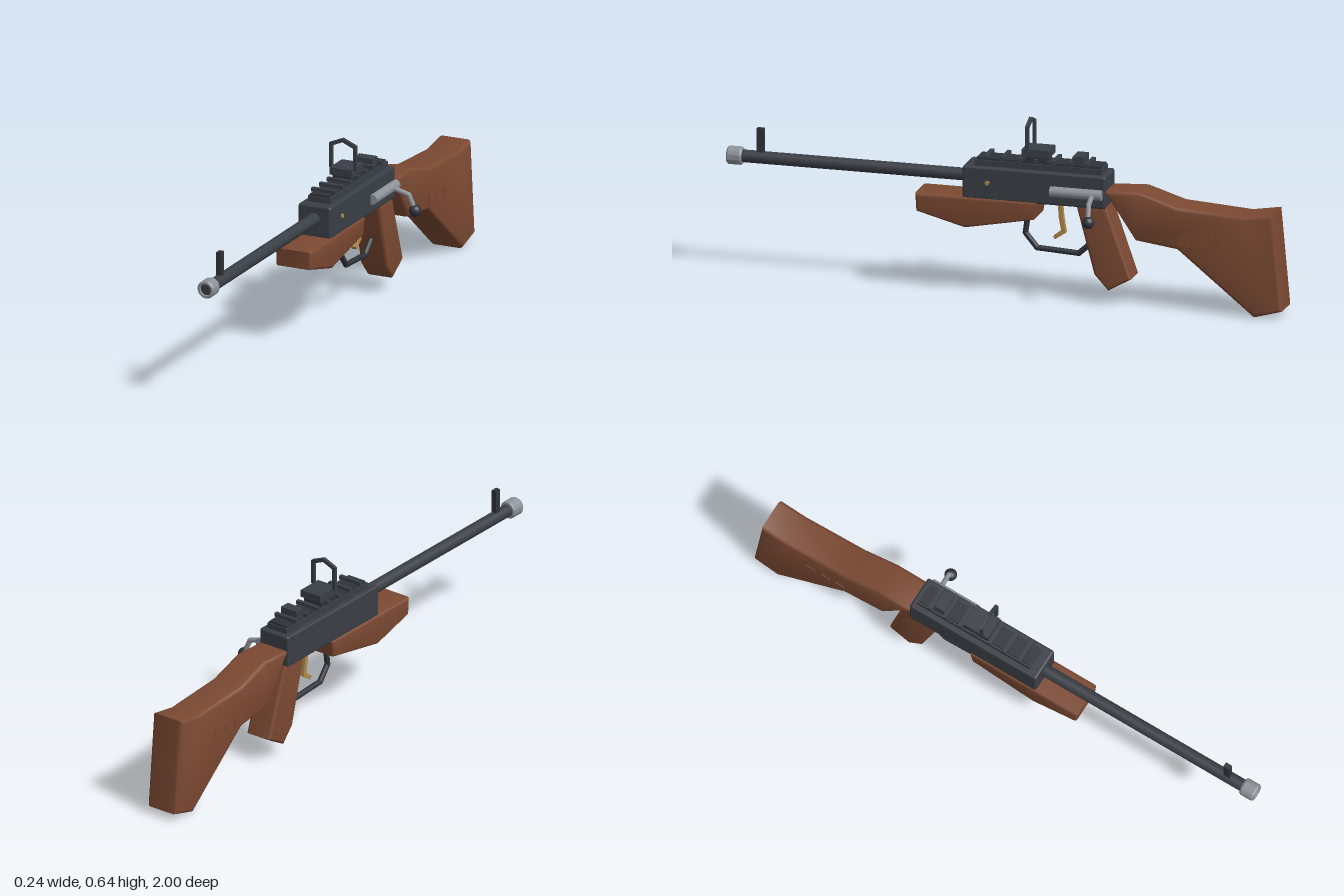
import * as THREE from 'three';
import { toCreasedNormals } from 'three/addons/utils/BufferGeometryUtils.js';
import { RoundedBoxGeometry } from 'three/addons/geometries/RoundedBoxGeometry.js';

const mat = (name, color) => {
  const m = new THREE.MeshStandardMaterial({ color });
  m.name = name;
  return m;
};

export function createModel() {
  const wood = mat('walnut wood', 0x7b4932);
  const steel = mat('dark gunmetal', 0x3a3f46);
  const black = mat('blackened steel', 0x2f3339);
  const silver = mat('bare steel', 0x8d9299);
  const brass = mat('brass', 0xb08a4a);

  const root = new THREE.Group();
  root.name = 'rifle';
  const body = new THREE.Group(); // parts are laid out about the barrel axis
  body.name = 'rifleBody';
  body.position.x = -0.055;
  root.add(body);

  const add = (name, geo, material, x = 0, y = 0, z = 0) => {
    const m = new THREE.Mesh(geo, material);
    m.name = name;
    m.position.set(x, y, z);
    body.add(m);
    return m;
  };
  // box given by half width and its y and z ranges
  const block = (name, material, half, y0, y1, z0, z1) =>
    add(name, new THREE.BoxGeometry(half * 2, y1 - y0, z1 - z0), material, 0, (y0 + y1) / 2, (z0 + z1) / 2);
  // side profile of [z, y] points, extruded across x with rounded edges
  const slab = (name, pts, half, bevel, material) => {
    const shape = new THREE.Shape(pts.map(([z, y]) => new THREE.Vector2(-z, y)));
    const geo = new THREE.ExtrudeGeometry(shape, {
      depth: 2 * (half - bevel), bevelEnabled: bevel > 0, bevelThickness: bevel,
      bevelSize: bevel, bevelOffset: -bevel, bevelSegments: 4,
    });
    geo.translate(0, 0, bevel - half).rotateY(Math.PI / 2);
    return add(name, toCreasedNormals(geo, 0.6), material);
  };
  // round bars joined by balls along a list of points
  const rods = (name, pts, r, material) => {
    const v = pts.map((p) => new THREE.Vector3(...p));
    for (let i = 0; i + 1 < v.length; i++) {
      const d = v[i + 1].clone().sub(v[i]);
      const bar = add(name, new THREE.CylinderGeometry(r, r, d.length(), 14), material);
      bar.position.copy(v[i]).addScaledVector(d, 0.5);
      bar.quaternion.setFromUnitVectors(new THREE.Vector3(0, 1, 0), d.normalize());
      if (i > 0) add(name + 'Joint', new THREE.SphereGeometry(r, 14, 10), material, ...pts[i]);
    }
  };
  const cylZ = (r, len) => new THREE.CylinderGeometry(r, r, len, 28).rotateX(Math.PI / 2);

  // wooden furniture
  slab('buttstock', [[-0.366, 0.408], [-0.492, 0.415], [-0.626, 0.373], [-0.866, 0.357], [-0.968, 0.374],
    [-1, 0.028], [-0.9, 0], [-0.626, 0.222], [-0.476, 0.242]], 0.063, 0.014, wood);
  slab('forestock', [[0.312, 0.35], [-0.125, 0.35], [-0.113, 0.287], [0.134, 0.24], [0.308, 0.286]], 0.067, 0.01, wood);
  slab('pistolGrip', [[-0.255, 0.37], [-0.362, 0.37], [-0.457, 0.097], [-0.375, 0.05], [-0.325, 0.105]], 0.052, 0.012, wood);
  for (const side of [-1, 1])
    for (const z of [-0.65, -0.707, -0.766])
      add('stockPanel', new THREE.BoxGeometry(0.006, 0.036, 0.036), wood, side * 0.063, 0.256, z);

  // receiver, barrel and muzzle
  add('receiver', new RoundedBoxGeometry(0.124, 0.116, 0.512, 3, 0.008), steel, 0, 0.403, -0.113);
  add('barrel', cylZ(0.022, 0.87), steel, 0, 0.413, 0.555);
  const ring = [[0.021, -0.027], [0.028, -0.027], [0.032, -0.021], [0.032, 0.021], [0.028, 0.027], [0.021, 0.027], [0.021, -0.027]];
  const muzzle = new THREE.LatheGeometry(ring.map(([r, h]) => new THREE.Vector2(r, h)), 32).rotateX(Math.PI / 2);
  add('muzzleRing', toCreasedNormals(muzzle, 0.5), silver, 0, 0.413, 0.973);
  block('frontSight', black, 0.009, 0.43, 0.518, 0.87, 0.895);

  // top rail with cross bars
  block('railBase', steel, 0.042, 0.455, 0.481, -0.35, 0.105);
  block('railCore', black, 0.036, 0.481, 0.488, -0.345, 0.1);
  for (let i = 0; i < 7; i++) {
    const z = 0.065 - i * 0.0605;
    block('railBar', steel, 0.046, 0.485, 0.499, z - 0.007, z + 0.007);
  }

  // rear sight
  block('sightFoot', black, 0.036, 0.485, 0.508, -0.15, -0.075);
  block('sightBase', steel, 0.042, 0.506, 0.532, -0.162, -0.064);
  block('rearBlock', steel, 0.034, 0.485, 0.518, -0.284, -0.245);
  const frame = new THREE.Shape([[-0.052, 0.528], [-0.04, 0.528], [-0.04, 0.607], [0, 0.624], [0.04, 0.607], [0.04, 0.528],
    [0.052, 0.528], [0.052, 0.616], [0, 0.638], [-0.052, 0.616]].map((p) => new THREE.Vector2(...p)));
  add('sightFrame', new THREE.ExtrudeGeometry(frame, { depth: 0.012, bevelEnabled: false }), steel, 0, 0, -0.091);

  // trigger and guard
  rods('triggerGuard', [[0, 0.3, -0.077], [0, 0.222, -0.066], [0, 0.171, -0.108], [0, 0.163, -0.257], [0, 0.215, -0.315]], 0.01, black);
  slab('trigger', [[-0.184, 0.347], [-0.198, 0.347], [-0.203, 0.29], [-0.212, 0.234], [-0.174, 0.208],
    [-0.167, 0.219], [-0.196, 0.242], [-0.187, 0.29]], 0.009, 0, brass);

  // bolt, handle and receiver pin on the left side
  add('bolt', cylZ(0.018, 0.185), silver, 0.068, 0.397, -0.267);
  rods('boltHandle', [[0.068, 0.397, -0.325], [0.132, 0.378, -0.33], [0.154, 0.325, -0.334]], 0.009, silver);
  add('boltKnob', new THREE.SphereGeometry(0.022, 24, 16), black, 0.154, 0.322, -0.335);
  const pin = new THREE.CylinderGeometry(0.008, 0.008, 0.012, 16).rotateZ(Math.PI / 2);
  add('receiverPin', pin, brass, 0.061, 0.407, 0.053);

  return root;
}
